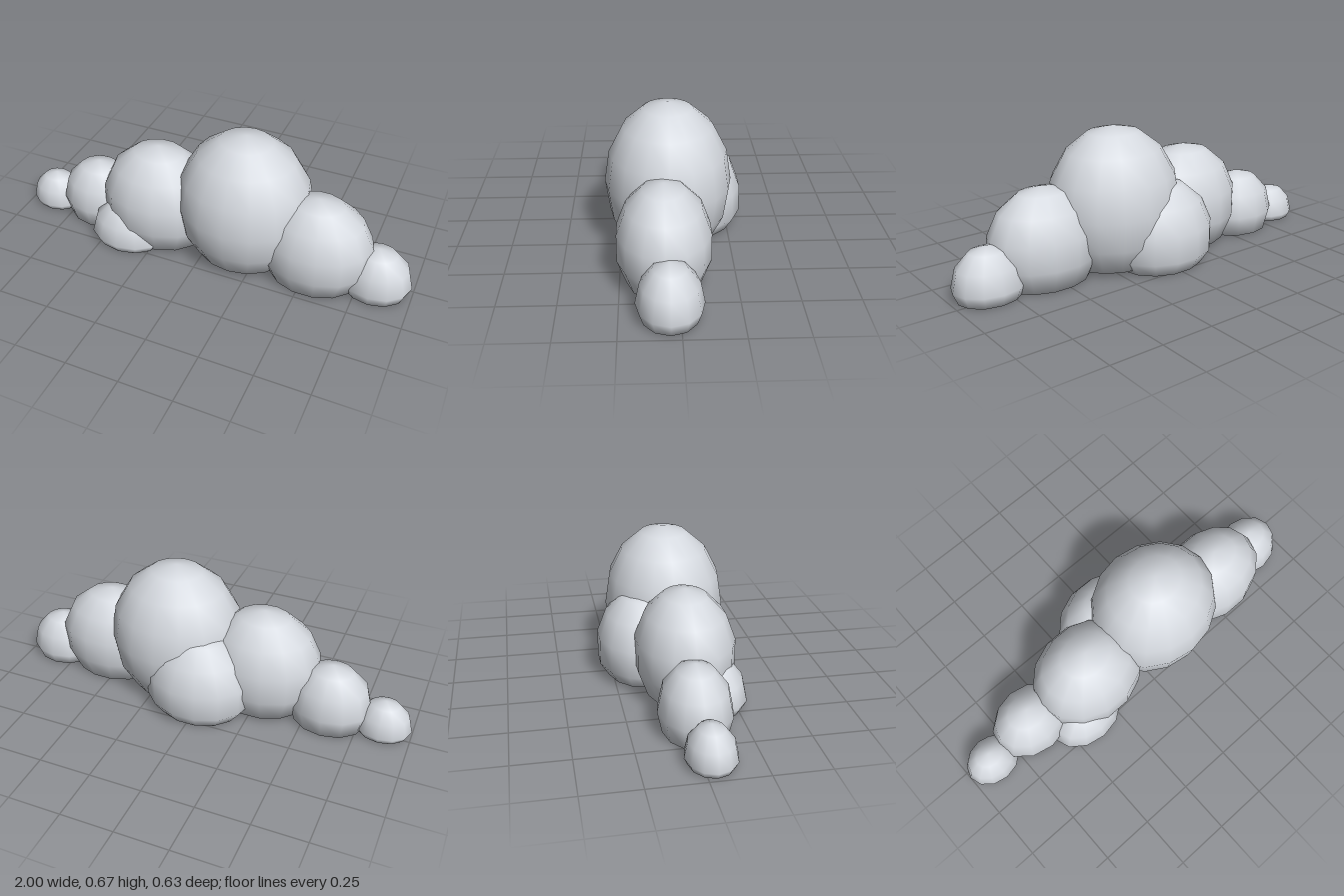
import * as THREE from 'three';
import { mergeVertices } from 'three/addons/utils/BufferGeometryUtils.js';

const cloudGrey = new THREE.MeshStandardMaterial({ color: 0xd5d9df });
cloudGrey.name = 'cloudGrey';

// Stretched smooth sphere whose underside is pressed flat on the ground
function puff(name, [x, y, z], [rx, ry, rz], rings) {
  let geo = new THREE.SphereGeometry(1, rings * 2, rings);
  geo.scale(rx, ry, rz);
  geo.translate(x, y, z);
  const pos = geo.attributes.position;
  for (let i = 0; i < pos.count; i++) pos.setY(i, Math.max(0, pos.getY(i)));
  // weld the seam so the shading stays continuous
  geo.deleteAttribute('uv');
  geo.deleteAttribute('normal');
  geo = mergeVertices(geo, 1e-4);
  geo.computeVertexNormals();
  const mesh = new THREE.Mesh(geo, cloudGrey);
  mesh.name = name;
  return mesh;
}

export function createModel() {
  const cloud = new THREE.Group();
  cloud.name = 'cloud';
  cloud.add(
    // main row, from the model's right to its left
    puff('rightTipPuff', [-0.865, 0.03, 0.038], [0.135, 0.144, 0.111], 6),
    puff('rightSmallPuff', [-0.608, 0.097, 0.028], [0.2, 0.213, 0.163], 6),
    puff('rightLargePuff', [-0.262, 0.205, 0.052], [0.287, 0.3, 0.231], 7),
    puff('centrePuff', [0.17, 0.29, 0.032], [0.327, 0.375, 0.287], 8),
    puff('leftMediumPuff', [0.535, 0.17, 0.06], [0.273, 0.272, 0.21], 7),
    puff('leftTipPuff', [0.825, 0.055, 0.043], [0.17, 0.183, 0.141], 6),
    // low fillers in front and behind
    puff('frontPuff', [-0.385, 0.04, 0.168], [0.19, 0.178, 0.14], 6),
    puff('backPuff', [0, 0.13, -0.103], [0.265, 0.28, 0.218], 7),
  );
  return cloud;
}
